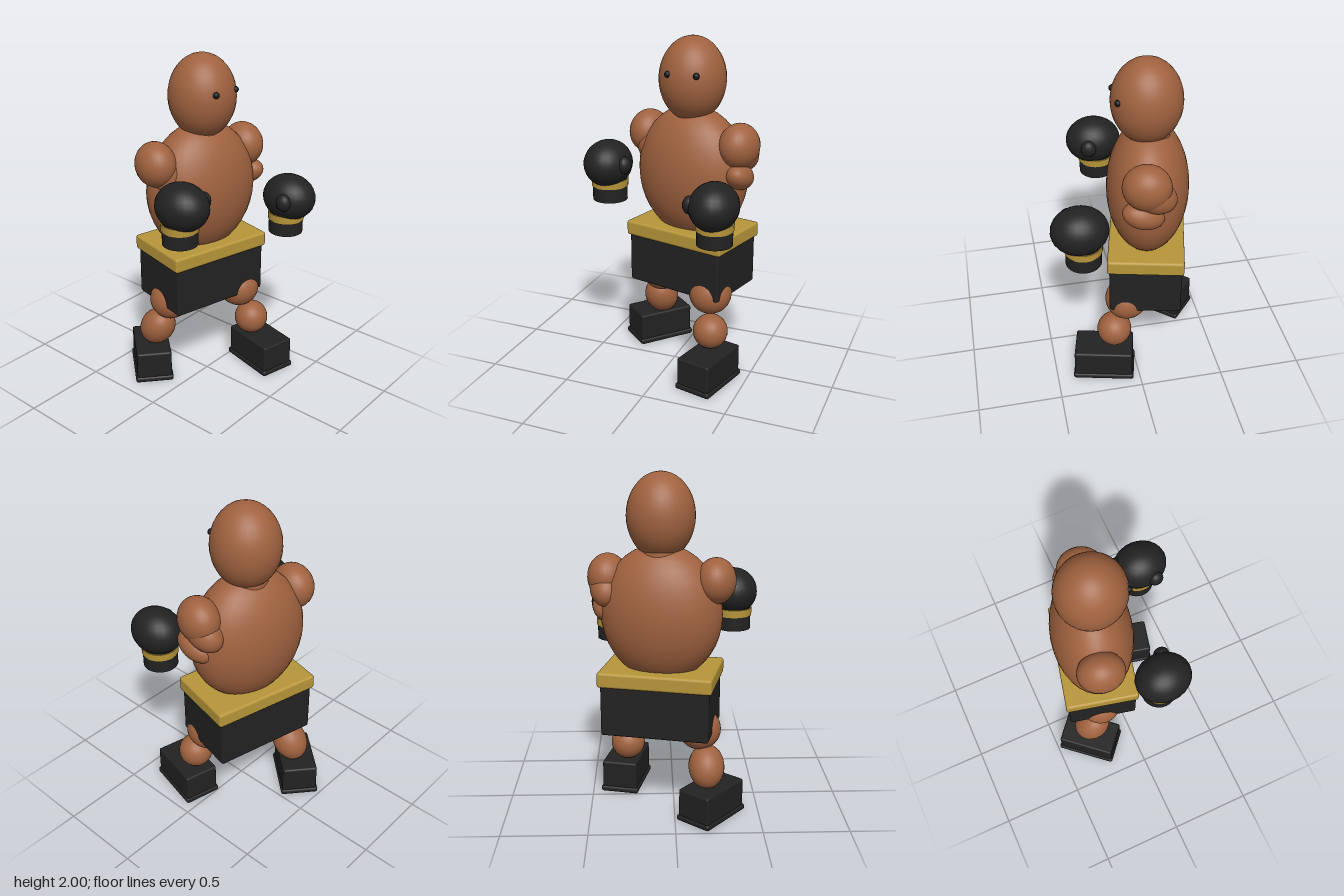
import * as THREE from 'three';
import { RoundedBoxGeometry } from 'three/addons/geometries/RoundedBoxGeometry.js';

function mat(name, color) {
  const m = new THREE.MeshStandardMaterial({ color });
  m.name = name;
  return m;
}

export function createModel() {
  const skin = mat('brown skin', 0xa0623f);
  const black = mat('black leather', 0x222222);
  const gold = mat('gold trim', 0xb8963a);
  const eyeBlack = mat('eye black', 0x14161a);
  const model = new THREE.Group();
  model.name = 'boxer';

  const add = (parent, name, geo, material, pos, rotY = 0) => {
    const m = new THREE.Mesh(geo, material);
    m.name = name;
    m.position.set(...pos);
    m.rotation.y = rotY;
    parent.add(m);
    return m;
  };
  // Ellipsoid with semi-axes r
  const blob = (parent, name, material, pos, r, ws = 32, hs = 20) =>
    add(parent, name, new THREE.SphereGeometry(1, ws, hs).scale(...r), material, pos);
  const box = (parent, name, material, size, pos, rotY = 0, radius = 0.015) =>
    add(parent, name, new RoundedBoxGeometry(...size, 2, radius), material, pos, rotY);
  const group = (name, pos = [0, 0, 0], rotY = 0) => {
    const g = new THREE.Group();
    g.name = name;
    g.position.set(...pos);
    g.rotation.y = rotY;
    model.add(g);
    return g;
  };

  // Body, turned with the fighting stance
  const turn = -0.235;
  const body = group('body', [0.072, 0, -0.109], turn);
  blob(body, 'torso', skin, [0, 1.2, 0], [0.355, 0.4, 0.238]);
  add(body, 'neck', new THREE.CylinderGeometry(0.112, 0.125, 0.12, 28), skin, [0, 1.555, 0]);
  box(body, 'shorts', black, [0.633, 0.32, 0.419], [0, 0.66, 0]);
  box(body, 'waistband', gold, [0.666, 0.09, 0.442], [0, 0.84, 0]);
  for (const [side, s] of [['left', 1], ['right', -1]])
    blob(body, side + 'Shoulder', skin, [s * 0.315, 1.402, 0], [0.114, 0.132, 0.136], 28, 18);

  // Head faces straight ahead
  const head = group('head', [0.072, 1.755, -0.097]);
  blob(head, 'skull', skin, [0, 0, 0], [0.195, 0.245, 0.2]);
  for (const s of [1, -1]) blob(head, 'eye', eyeBlack, [s * 0.085, 0.047, 0.174], [0.019, 0.019, 0.019], 14, 10);

  // Bent arms
  const leftUpper = blob(model, 'leftUpperArm', skin, [0.387, 1.345, -0.078], [0.092, 0.095, 0.13], 24, 16);
  leftUpper.rotation.x = -0.5;
  const leftFore = blob(model, 'leftForearm', skin, [0.39, 1.228, -0.016], [0.08, 0.076, 0.122], 24, 16);
  leftFore.rotation.x = -0.35;
  blob(model, 'rightUpperArm', skin, [-0.2, 1.34, -0.13], [0.085, 0.11, 0.09], 24, 16);
  blob(model, 'rightForearm', skin, [-0.15, 1.23, -0.1], [0.08, 0.08, 0.1], 24, 16);

  // Boxing gloves with cuffs
  for (const [side, s, pos] of [
    ['left', 1, [0.36, 1.156, 0.332]],
    ['right', -1, [-0.364, 1.27, 0.133]],
  ]) {
    const glove = group(side + 'Glove', pos);
    blob(glove, 'fist', black, [0, 0, 0], [0.139, 0.137, 0.163], 24, 16);
    blob(glove, 'thumb', black, [-s * 0.124, 0.01, 0.046], [0.04, 0.052, 0.046], 16, 12);
    add(glove, 'cuff', new THREE.CylinderGeometry(0.102, 0.102, 0.15, 28), black, [0, -0.148, -0.017]);
    add(glove, 'cuffBand', new THREE.CylinderGeometry(0.109, 0.107, 0.045, 28), gold, [0, -0.117, -0.017]);
  }

  // Legs
  blob(model, 'leftThigh', skin, [0.248, 0.507, 0.05], [0.127, 0.124, 0.127], 28, 18);
  blob(model, 'leftCalf', skin, [0.28, 0.3, 0.132], [0.104, 0.104, 0.104], 24, 16);
  blob(model, 'rightThigh', skin, [-0.15, 0.507, -0.165], [0.126, 0.124, 0.126], 28, 18);
  const rightCalf = blob(model, 'rightCalf', skin, [-0.188, 0.3, -0.244], [0.106, 0.132, 0.105], 24, 16);
  rightCalf.rotation.x = 0.64;

  // Boots with slightly wider soles
  for (const [side, pos, rot] of [
    ['left', [0.295, 0, 0.199], turn],
    ['right', [-0.216, 0, -0.275], -0.714],
  ]) {
    const boot = group(side + 'Boot', pos, rot);
    box(boot, 'bootUpper', black, [0.214, 0.19, 0.352], [0, 0.105, 0], 0, 0.012);
    box(boot, 'sole', black, [0.234, 0.036, 0.37], [0, 0.018, 0], 0, 0.014);
  }
  return model;
}
